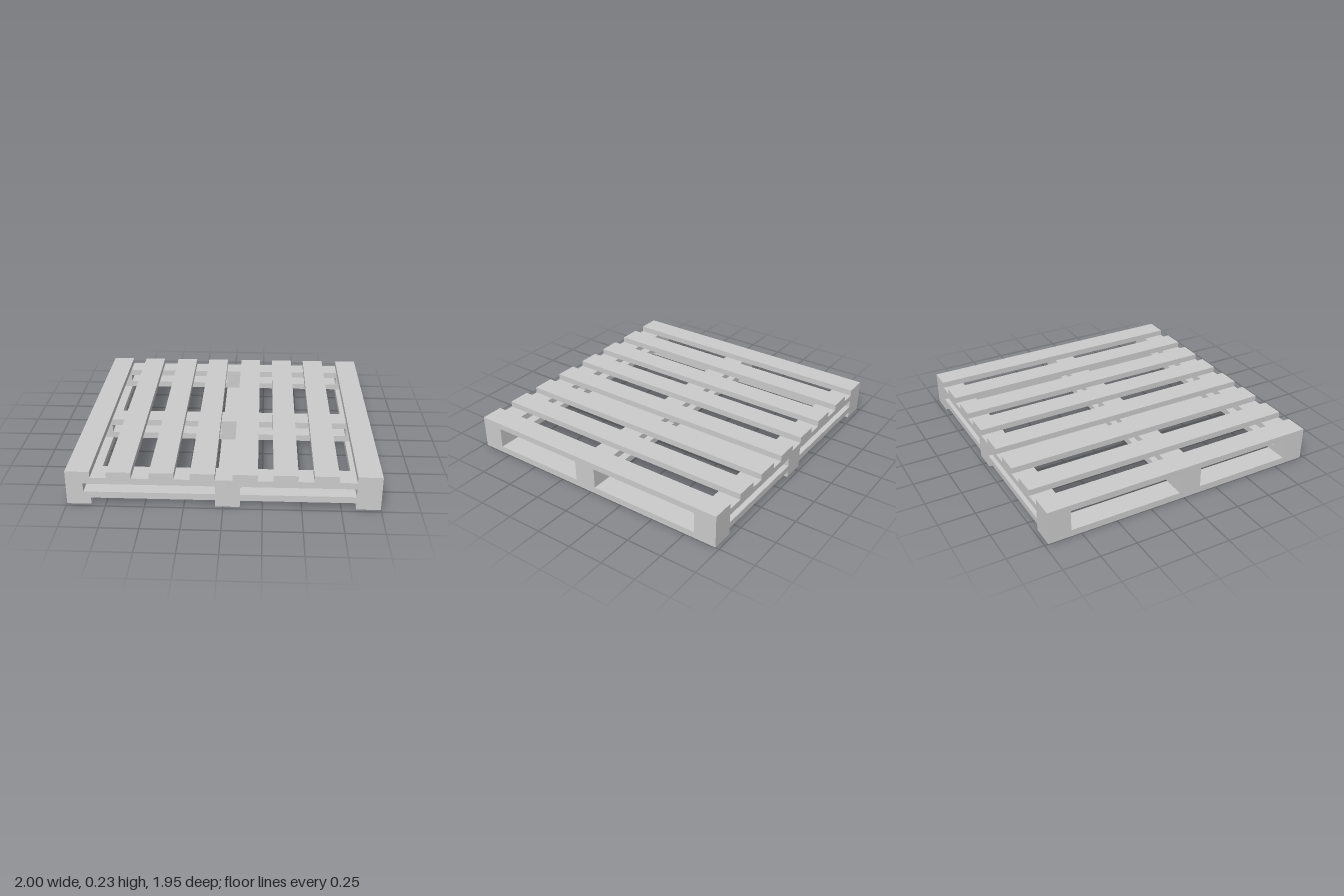
import * as THREE from 'three';

export function createModel() {
  const model = new THREE.Group();
  model.name = 'pallet';
  const material = new THREE.MeshStandardMaterial({ color: 0xcccccc, flatShading: true });

  // Adds a box spanning the given ranges on each axis
  function board(name, [x0, x1], [y0, y1], [z0, z1]) {
    const mesh = new THREE.Mesh(new THREE.BoxGeometry(x1 - x0, y1 - y0, z1 - z0), material);
    mesh.position.set((x0 + x1) / 2, (y0 + y1) / 2, (z0 + z1) / 2);
    mesh.name = name;
    model.add(mesh);
  }

  const width = 0.157;
  const depth = [-0.975, 0.975];
  const layers = [0, 0.046, 0.09, 0.147, 0.191, 0.233];
  const layer = (i) => [layers[i], layers[i + 1]];
  const span = (start) => [start, start + width];

  // Deck slats running front to back
  for (const x of [-1, -0.738, -0.467, -0.208, 0.062, 0.317, 0.573, 0.843]) {
    board('deckSlat', span(x), layer(4), depth);
  }

  // Skids on the ground
  const columns = [-1, -0.05, 0.843];
  for (const x of columns) board('skid', span(x), layer(0), depth);

  // Upper and lower cross boards with spacer blocks between them
  for (const z of [-0.975, -0.031, 0.818]) {
    board('upperCrossBoard', [-1, 1], layer(3), span(z));
    board('lowerCrossBoard', [-1, 1], layer(1), span(z));
    for (const x of columns) {
      const narrow = x === -1 && z > 0.5; // the front block on this side is cut narrower
      board('spacerBlock', narrow ? [-1, -0.89] : span(x), layer(2), span(z));
    }
  }
  return model;
}
